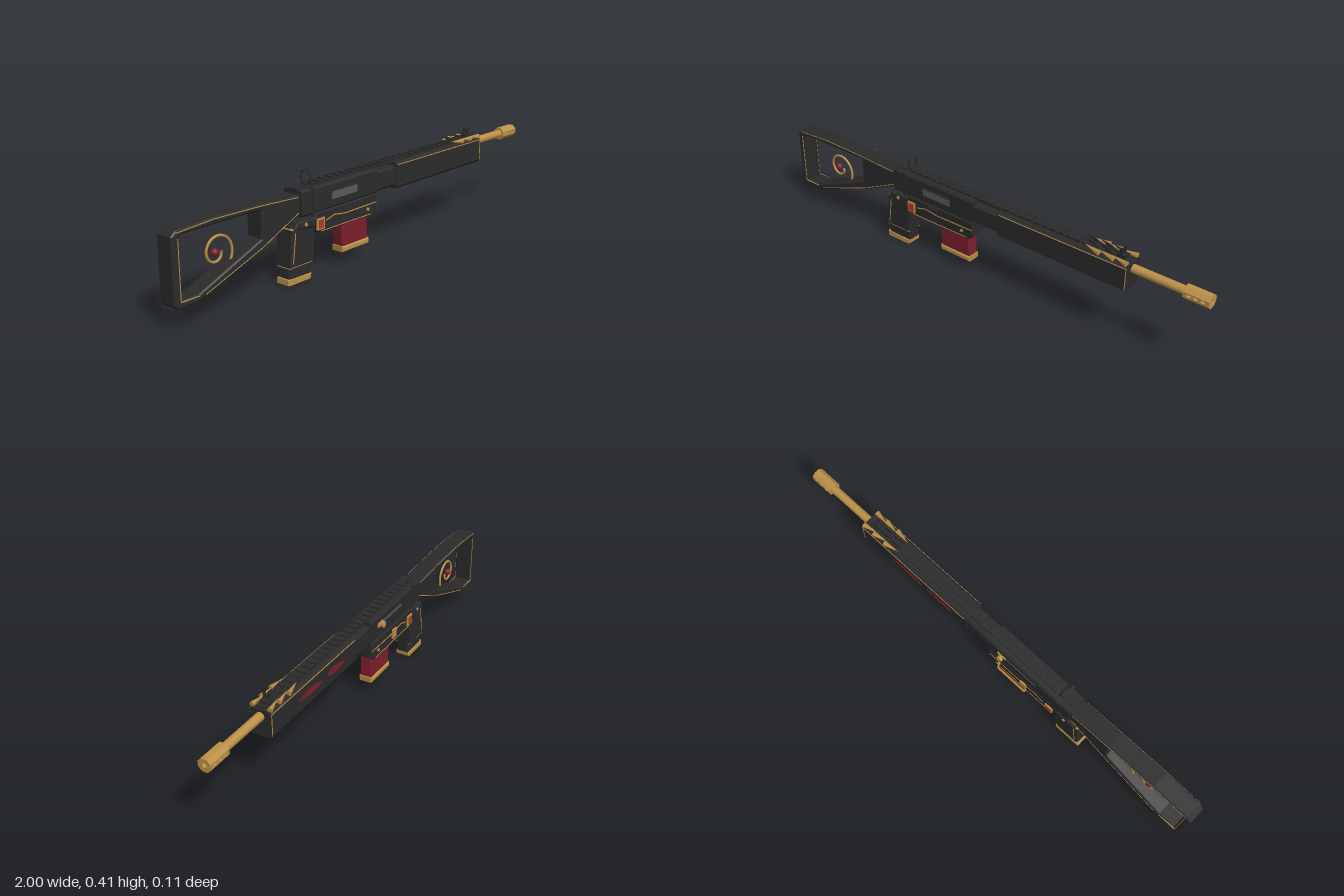
import * as THREE from 'three';

const mat = (name, color) => {
  const m = new THREE.MeshStandardMaterial({ color });
  m.name = name;
  return m;
};

export function createModel() {
  const black = mat('black', 0x2b2b2c);
  const gold = mat('gold', 0xbd9148);
  const red = mat('dark red', 0x7d1f2c);
  const gem = mat('bright red', 0xb8352b);
  const grey = mat('grey', 0x5a5a5a);

  const root = new THREE.Group();
  root.name = 'rifle';
  const body = new THREE.Group();
  body.name = 'rifleParts';
  body.position.z = 0.0065;
  root.add(body);

  const add = (name, geo, material, x = 0, y = 0, z = 0) => {
    const m = new THREE.Mesh(geo, material);
    m.name = name;
    m.position.set(x, y, z);
    body.add(m);
    return m;
  };
  const box = (name, w, h, d, material, x, y, z = 0) =>
    add(name, new THREE.BoxGeometry(w, h, d), material, x, y, z);
  const poly = pts => new THREE.Shape(pts.map(p => new THREE.Vector2(...p)));

  // Side outline (points or a shape) given width in z, with a small chamfer
  const slab = (name, outline, half, material, { bevel = 0.005, holes = [], z = 0 } = {}) => {
    const shape = Array.isArray(outline) ? poly(outline) : outline;
    holes.forEach(h => shape.holes.push(poly(h)));
    const geo = new THREE.ExtrudeGeometry(shape, {
      depth: 2 * (half - bevel), bevelEnabled: bevel > 0, bevelThickness: bevel,
      bevelSize: bevel, bevelOffset: -bevel, bevelSegments: 1, curveSegments: 8,
    });
    geo.translate(0, 0, -(half - bevel));
    return add(name, geo, material, 0, 0, z);
  };
  // Chamfered box running along x
  const beam = (name, x0, x1, y0, y1, half, c) => {
    const s = poly([[-half, y0 + c], [-half + c, y0], [half - c, y0], [half, y0 + c],
      [half, y1 - c], [half - c, y1], [-half + c, y1], [-half, y1 - c]]);
    const geo = new THREE.ExtrudeGeometry(s, { depth: x1 - x0, bevelEnabled: false });
    geo.rotateY(Math.PI / 2).translate(x0, 0, 0);
    return add(name, geo, black);
  };
  // Thin gold inlay following points on one side face
  const trim = (name, pts, z, t = 0.004) => {
    for (let i = 1; i < pts.length; i++) {
      const [ax, ay] = pts[i - 1], [bx, by] = pts[i];
      const bar = box(name, Math.hypot(bx - ax, by - ay), t, 0.004, gold, (ax + bx) / 2, (ay + by) / 2, z);
      bar.rotation.z = Math.atan2(by - ay, bx - ax);
    }
  };

  // Skeleton stock
  const stockPts = [[-1, 0.09], [-0.985, 0.075], [-0.91, 0.075], [-0.87, 0.087], [-0.61, 0.18],
    [-0.42, 0.265], [-0.42, 0.335], [-0.61, 0.345], [-0.82, 0.35], [-0.98, 0.342], [-1, 0.325]];
  const holePts = [[-0.968, 0.1], [-0.968, 0.312], [-0.955, 0.325], [-0.61, 0.325], [-0.61, 0.218], [-0.895, 0.103]];
  slab('stock', stockPts, 0.038, black, { holes: [holePts] });

  // Spiral ornament and its gem
  const spiral = [];
  for (let i = 0; i <= 24; i++) {
    const t = i / 24, a = -1.15 + t * 7.6, r = 0.078 - 0.06 * t;
    spiral.push(new THREE.Vector3(-0.785 + r * Math.cos(a), 0.21 + r * Math.sin(a), 0));
  }
  add('stockSpiral', new THREE.TubeGeometry(new THREE.CatmullRomCurve3(spiral), 72, 0.005, 6), gold);
  add('spiralGem', new THREE.SphereGeometry(0.015, 12, 8), red, -0.794, 0.212);

  // Upper receiver, barrel nut and handguard
  beam('upperReceiver', -0.42, 0, 0.25, 0.35, 0.044, 0.008);
  beam('handguardCollar', 0, 0.116, 0.255, 0.335, 0.04, 0.008);
  beam('handguard', 0.115, 0.69, 0.242, 0.35, 0.044, 0.009);
  box('receiverRearBand', 0.014, 0.1, 0.094, black, -0.36, 0.302);
  box('ejectionPort', 0.14, 0.03, 0.004, grey, -0.19, 0.3, 0.0445);
  box('ejectionPortEdge', 0.15, 0.004, 0.008, black, -0.19, 0.318, 0.045);
  box('boltSlot', 0.2, 0.01, 0.004, grey, -0.15, 0.313, -0.0435);

  // Top rail
  box('railBase', 1.1, 0.01, 0.04, black, 0.13, 0.35);
  for (let i = 0; i < 26; i++) box('railTooth', 0.02, 0.008, 0.042, black, -0.33 + i * 0.036, 0.357);

  // Sights
  const ring = add('rearSight', new THREE.TorusGeometry(0.027, 0.003, 4, 6), black, -0.353, 0.382);
  ring.rotation.y = Math.PI / 2;
  ring.scale.z = 1.6;
  box('rearSightBase', 0.02, 0.012, 0.03, black, -0.353, 0.355);
  box('frontSightBase', 0.04, 0.016, 0.03, black, 0.645, 0.36);
  for (const z of [-0.01, 0.01]) box('frontSightEar', 0.012, 0.03, 0.005, black, 0.645, 0.378, z);
  box('frontSightPost', 0.006, 0.02, 0.004, black, 0.645, 0.372);

  // Swept-back thorns over the handguard
  for (const x of [0.56, 0.62, 0.675]) {
    for (const s of [-1, 1]) {
      const thorn = new THREE.Shape();
      thorn.moveTo(x, 0.35);
      thorn.quadraticCurveTo(x - 0.02, 0.378, x - 0.075, 0.378);
      thorn.quadraticCurveTo(x - 0.035, 0.368, x - 0.035, 0.35);
      slab('thorn', thorn, 0.002, black, { bevel: 0, z: s * 0.011 });
      const leaf = add('goldThorn', new THREE.ConeGeometry(0.012, 0.07, 5), gold, x - 0.025, 0.358, s * 0.031);
      leaf.rotation.set(0, s * -0.15, Math.PI / 2 - 0.1);
    }
  }

  // Barrel and octagonal ported muzzle
  const barrel = add('barrel', new THREE.CylinderGeometry(0.017, 0.017, 0.24, 16), gold, 0.79, 0.323);
  barrel.rotation.z = Math.PI / 2;
  const apothem = 0.0255, side = 2 * apothem * Math.tan(Math.PI / 8);
  for (let i = 0; i < 8; i++) {
    const shape = poly([[-0.05, -side / 2], [0.05, -side / 2], [0.05, side / 2], [-0.05, side / 2]]);
    if (i % 4 === 0) for (const x of [-0.027, 0, 0.027])
      shape.holes.push(new THREE.Path().absellipse(x, 0, 0.009, 0.005, 0, Math.PI * 2));
    const geo = new THREE.ExtrudeGeometry(shape, { depth: 0.005, bevelEnabled: false, curveSegments: 6 });
    geo.translate(0, 0, apothem - 0.005);
    add('muzzleFace', geo, gold, 0.95, 0.323).rotation.x = i * Math.PI / 4;
  }
  for (const x of [0.902, 0.995]) {
    const cap = new THREE.Shape();
    for (let i = 0; i < 8; i++) {
      const a = (i + 0.5) * Math.PI / 4, r = 0.0262;
      cap[i ? 'lineTo' : 'moveTo'](r * Math.cos(a), r * Math.sin(a));
    }
    cap.holes.push(new THREE.Path().absarc(0, 0, 0.009, 0, Math.PI * 2));
    const geo = new THREE.ExtrudeGeometry(cap, { depth: 0.005, bevelEnabled: false });
    add('muzzleCap', geo, gold, x, 0.323).rotation.y = Math.PI / 2;
  }

  // Lower receiver
  slab('lowerReceiver', [[-0.455, 0.21], [-0.35, 0.2], [-0.33, 0.17], [-0.03, 0.17], [-0.005, 0.188],
    [-0.005, 0.252], [-0.345, 0.252], [-0.35, 0.236], [-0.445, 0.236]], 0.044, black);
  box('magazineWell', 0.17, 0.03, 0.086, black, -0.115, 0.186);

  // Grip with framed side panels and a gold foot
  slab('grip', [[-0.475, 0.02], [-0.362, 0.02], [-0.345, 0.225], [-0.455, 0.225], [-0.463, 0.2]], 0.028, black);
  slab('gripPanelFrame', [[-0.476, 0.066], [-0.359, 0.066], [-0.346, 0.214], [-0.462, 0.214]], 0.035, gold, { bevel: 0.002 });
  slab('gripPanel', [[-0.478, 0.071], [-0.357, 0.071], [-0.344, 0.21], [-0.465, 0.21]], 0.038, black, { bevel: 0.003 });
  slab('gripFoot', [[-0.482, 0.004], [-0.472, 0], [-0.37, 0], [-0.362, 0.006], [-0.36, 0.022], [-0.482, 0.026]], 0.03, gold, { bevel: 0.002 });

  // Magazine
  slab('magazine', [[-0.182, 0.07], [-0.038, 0.07], [-0.042, 0.2], [-0.192, 0.2]], 0.025, red, { bevel: 0.003 });
  slab('magazineFoot', [[-0.185, 0.052], [-0.035, 0.052], [-0.033, 0.076], [-0.187, 0.076]], 0.03, gold);

  // Details repeated on both sides
  for (const s of [-1, 1]) {
    const f = s * 0.0435;
    box('buttonFrame', 0.038, 0.044, 0.008, gold, -0.325, 0.207, s * 0.045);
    box('button', 0.026, 0.032, 0.008, gem, -0.325, 0.207, s * 0.0475);
    trim('receiverInlay', [[-0.295, 0.212], [-0.25, 0.224], [-0.19, 0.216], [-0.01, 0.218]], f);
    trim('receiverInlay', [[-0.32, 0.177], [-0.04, 0.177]], f, 0.003);
    trim('gripInlay', [[-0.462, 0.085], [-0.447, 0.2]], s * 0.037);
    trim('handguardInlay', [[0.125, 0.34], [0.687, 0.34], [0.687, 0.252]], f, 0.003);
    trim('stockTopInlay', [[-0.98, 0.335], [-0.82, 0.344], [-0.61, 0.339], [-0.43, 0.329]], s * 0.037, 0.003);
    trim('stockLowerInlay', [[-0.87, 0.094], [-0.61, 0.187], [-0.43, 0.27]], s * 0.037, 0.003);
    trim('stockHoleInlay', [[-0.895, 0.097], [-0.974, 0.097], [-0.974, 0.315]], s * 0.037, 0.003);
    for (const [x, y] of [[-0.06, 0.2], [-0.4, 0.222]]) {
      const pin = add('pin', new THREE.CylinderGeometry(0.007, 0.007, 0.006, 8), gold, x, y, s * 0.045);
      pin.rotation.x = Math.PI / 2;
    }
  }
  box('selectorLever', 0.05, 0.014, 0.012, black, -0.21, 0.236, 0.045);
  box('magazineCatch', 0.032, 0.04, 0.008, gold, -0.19, 0.213, -0.046);

  // Charging handle
  box('chargingHandleBase', 0.04, 0.018, 0.006, gold, -0.075, 0.313, -0.045);
  for (const [r, len, z] of [[0.006, 0.02, -0.05], [0.013, 0.011, -0.058]]) {
    const knob = add('chargingHandle', new THREE.CylinderGeometry(r, r, len, 12), gold, -0.075, 0.313, z);
    knob.rotation.x = Math.PI / 2;
  }

  // Leaf-shaped red inlays on the handguard's far side
  for (const [a, b] of [[0.36, 0.52], [0.2, 0.33]]) {
    const m = (a + b) / 2, leaf = new THREE.Shape();
    leaf.moveTo(a, 0.293);
    leaf.quadraticCurveTo(m, 0.268, b, 0.297);
    leaf.quadraticCurveTo(m, 0.325, a, 0.293);
    slab('handguardLeaf', leaf, 0.002, red, { bevel: 0, z: -0.0435 });
  }
  return root;
}
